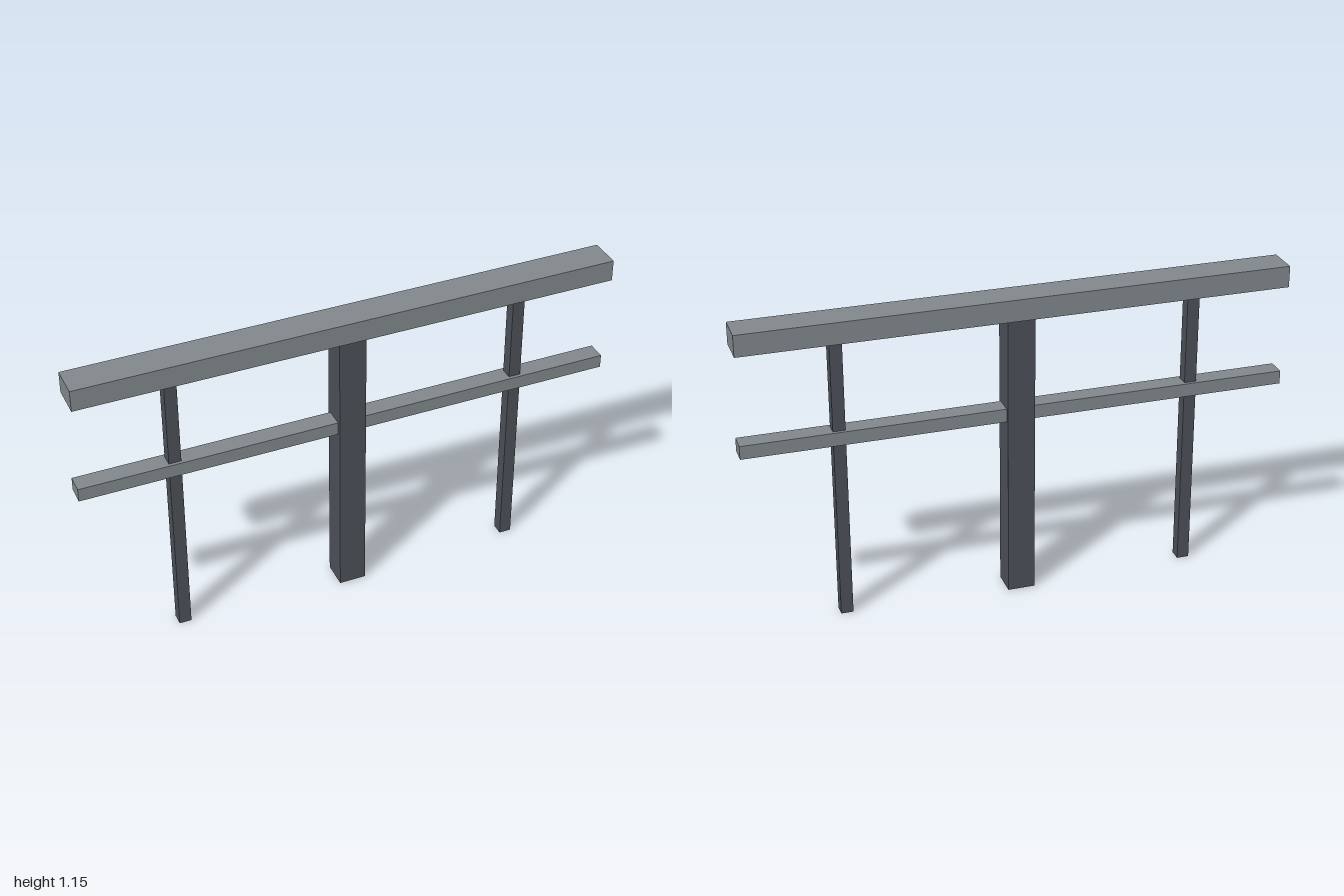
import * as THREE from 'three';

export function createModel() {
  const model = new THREE.Group();
  const railMaterial = new THREE.MeshStandardMaterial({ color: 0x80868b });
  const postMaterial = new THREE.MeshStandardMaterial({ color: 0x4b5057 });

  // Box given by its width, depth, bottom, top and x position
  function addBox(name, material, width, depth, bottom, top, x = 0) {
    const mesh = new THREE.Mesh(new THREE.BoxGeometry(width, top - bottom, depth), material);
    mesh.position.set(x, (bottom + top) / 2, 0);
    mesh.name = name;
    model.add(mesh);
  }

  // Horizontal rails
  addBox('topRail', railMaterial, 2, 0.12, 1.07, 1.15);
  addBox('middleRail', railMaterial, 2, 0.07, 0.68, 0.73);

  // Thick centre post, ending just under the top face of the rail
  addBox('centrePost', postMaterial, 0.1, 0.1, 0, 1.148);

  // Slim posts on both sides
  for (const side of [-1, 1]) {
    addBox(side > 0 ? 'leftPost' : 'rightPost', postMaterial, 0.045, 0.045, 0, 1.1, side * 0.65);
  }

  return model;
}
